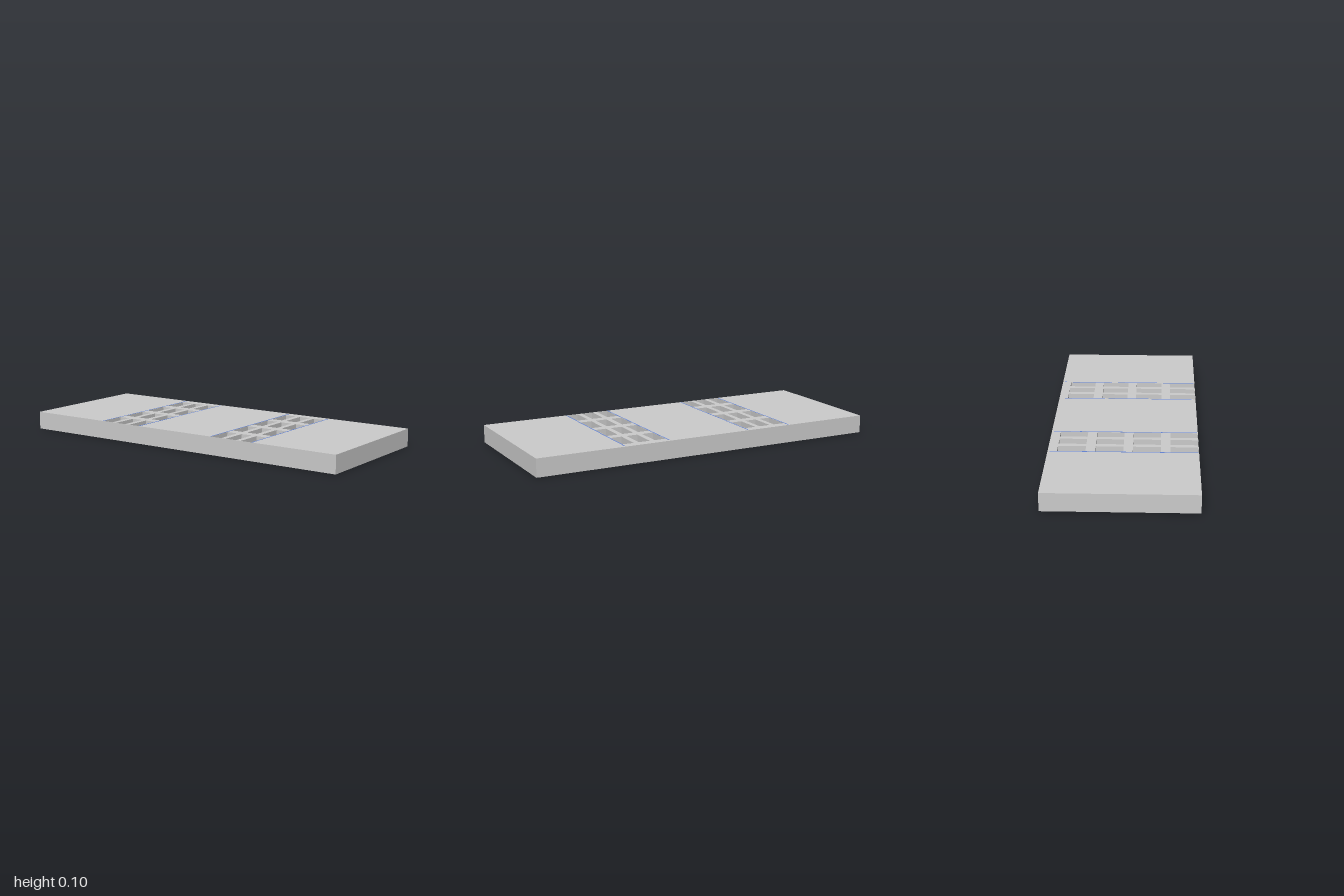
import * as THREE from 'three';

const WIDTH = 0.8, LENGTH = 2, HEIGHT = 0.1, FLOOR = 0.05;
const POCKET_W = 0.15, POCKET_L = 0.065;
const COLUMNS = [-0.325, -0.125, 0.075, 0.275];
const BANDS = [-0.378, 0.372]; // centre z of each group of pockets
const ROW_PITCH = 0.094;

export function createModel() {
  const model = new THREE.Group();
  const grey = new THREE.MeshStandardMaterial({ color: 0xcccccc, flatShading: true });
  const blue = new THREE.MeshStandardMaterial({ color: 0x6688dd, flatShading: true });

  const add = (name, geometry, material, x, y, z) => {
    const mesh = new THREE.Mesh(geometry, material);
    mesh.name = name;
    mesh.position.set(x, y, z);
    model.add(mesh);
    return mesh;
  };

  // Rectangle in plan; z points down the shape's y axis
  const rectangle = (Type, x0, x1, z0, z1) => new Type([
    new THREE.Vector2(x0, -z1), new THREE.Vector2(x1, -z1),
    new THREE.Vector2(x1, -z0), new THREE.Vector2(x0, -z0),
  ]);

  // Solid lower half of the slab
  add('base', new THREE.BoxGeometry(WIDTH, FLOOR, LENGTH), grey, 0, FLOOR / 2, 0);

  // Upper half, pierced by the pockets, with blue floors below them
  const top = rectangle(THREE.Shape, -WIDTH / 2, WIDTH / 2, -LENGTH / 2, LENGTH / 2);
  for (const band of BANDS) {
    for (const row of [-1, 0, 1]) {
      for (const column of COLUMNS) {
        const z = band + row * ROW_PITCH;
        const x0 = Math.max(column - POCKET_W / 2, -WIDTH / 2 + 0.001); // keep a skin at the edge
        const x1 = column + POCKET_W / 2;
        top.holes.push(rectangle(THREE.Path, x0, x1, z - POCKET_L / 2, z + POCKET_L / 2));
        const floor = new THREE.PlaneGeometry(x1 - x0, POCKET_L).rotateX(-Math.PI / 2);
        add('pocketFloor', floor, blue, (x0 + x1) / 2, FLOOR + 0.0005, z);
      }
    }
    // Thin stripes bordering each group
    for (const side of [-1, 1]) {
      const stripe = new THREE.BoxGeometry(0.785, 0.002, 0.006);
      add('borderStripe', stripe, blue, -0.0035, HEIGHT - 0.0005, band + side * 0.131);
    }
  }
  const topGeometry = new THREE.ExtrudeGeometry(top, { depth: HEIGHT - FLOOR, bevelEnabled: false });
  add('pocketedTop', topGeometry.rotateX(-Math.PI / 2), grey, 0, FLOOR, 0);

  return model;
}
